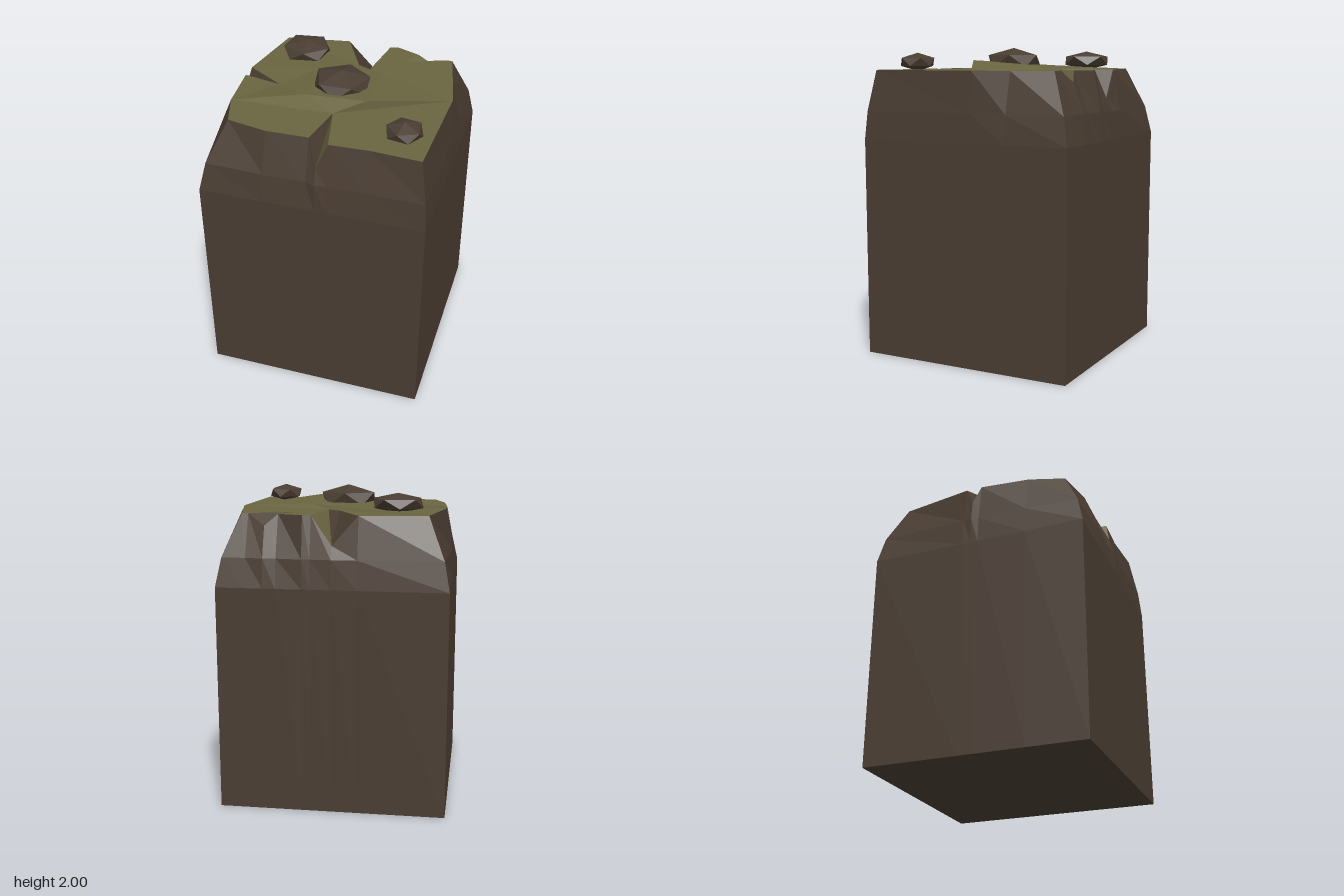
import * as THREE from 'three';

const H = 0.713, RIM_Y = 1.86;
const BROWN = 0x4a3d32, GREEN = 0x69643f;
const material = (color) => new THREE.MeshStandardMaterial({ color, flatShading: true, roughness: 1 });
const brown = material(BROWN), green = material(GREEN);

// Flat-shaded mesh from a list of corner points, three per face
function facetMesh(name, points, mat) {
  const geo = new THREE.BufferGeometry().setFromPoints(points);
  geo.computeVertexNormals();
  const mesh = new THREE.Mesh(geo, mat);
  mesh.name = name;
  return mesh;
}

// Rim of the top, clockwise from above: [x, z] points and notches
// (floor = lowest point on the side, tips = inner points on the top)
const RIM = [
  [-0.575, -0.57], [-0.16, -0.64],
  { floor: [0, 1.68, -0.66], tips: [[0, -0.33], [0.08, -0.27]], mats: [brown, brown, green] },
  [0.13, -0.635], [0.18, -0.65], [0.34, -0.585],
  { floor: [0.42, 1.79, -0.62], tips: [[0.26, -0.46]], mats: [green, brown] },
  [0.53, -0.565], [0.57, -0.565],
  [0.63, -0.3], [0.68, -0.06], [0.66, 0.65],
  [0.35, 0.63], [0.1, 0.64],
  { floor: [0.03, 1.7, 0.675], tips: [[0.02, 0.3]], mats: [green, brown] },
  [-0.03, 0.6], [-0.3, 0.605], [-0.555, 0.555],
  [-0.63, 0.33], [-0.66, 0.01],
  { floor: [-0.685, 1.74, -0.04], tips: [[-0.41, 0.06]], mats: [brown, brown] },
  [-0.66, -0.095],
];
const onRim = ([x, z]) => new THREE.Vector3(x, RIM_Y, z);

// Straight-sided outline below a rim point: pushed out to the square, corners to its corners
function outward(p, y) {
  const ax = Math.abs(p.x), az = Math.abs(p.z), corner = ax > 0.54 && az > 0.54;
  return new THREE.Vector3(
    corner || ax > az ? Math.sign(p.x) * H : p.x, y,
    corner || az >= ax ? Math.sign(p.z) * H : p.z);
}

// Earth block: stacked rings from base to notched rim
function earthBlock() {
  const rim = RIM.map((r) => (r.floor ? new THREE.Vector3(...r.floor) : onRim(r)));
  const mid = rim.map((p) => {
    const q = outward(p, 1.6);
    return q.lerp(new THREE.Vector3(p.x, 1.6, p.z), 0.25);
  });
  const rings = [rim.map((p) => outward(p, 0)), rim.map((p) => outward(p, 1.42)), mid, rim];
  const tris = [], n = rim.length;
  for (let k = 0; k < 3; k++) {
    for (let i = 0; i < n; i++) {
      const j = (i + 1) % n, low = rings[k], up = rings[k + 1];
      tris.push(up[j], low[j], low[i], up[j], low[i], up[i]);
    }
  }
  // Underside
  const centre = new THREE.Vector3();
  rings[0].forEach((p, i) => tris.push(centre, p, rings[0][(i + 1) % n]));
  return facetMesh('earthBlock', tris, brown);
}

// Grass top: rim with notches cut in, rising to a raised middle
function grassTop() {
  const rim = RIM.flatMap((r) => (r.floor ? r.tips : [r])).map(onRim);
  const middle = [[-0.2, 1.885, -0.2], [0.2, 1.89, -0.2], [0.2, 1.92, 0.2], [-0.2, 1.9, 0.2]]
    .map((p) => new THREE.Vector3(...p));
  const flat = (list) => list.map((p) => new THREE.Vector2(p.x, p.z));
  const all = [...rim, ...middle], m = rim.length;
  const faces = THREE.ShapeUtils.triangulateShape(flat(rim), [flat(middle)]);
  faces.push([m, m + 1, m + 2], [m, m + 2, m + 3]);
  const tris = [];
  for (const f of faces) {
    const [a, b, c] = f.map((i) => all[i]);
    const up = b.clone().sub(a).cross(c.clone().sub(a)).y > 0;
    tris.push(a, ...(up ? [b, c] : [c, b]));
  }
  return facetMesh('grassTop', tris, green);
}

// Walls inside each notch
function notchWalls() {
  const group = new THREE.Group();
  group.name = 'notches';
  RIM.forEach((r, i) => {
    if (!r.floor) return;
    const floor = new THREE.Vector3(...r.floor);
    const edge = [RIM[i - 1], ...r.tips, RIM[i + 1]].map(onRim);
    r.mats.forEach((mat, k) => group.add(facetMesh('notchWall', [edge[k], edge[k + 1], floor], mat)));
  });
  return group;
}

// Flattened, slightly uneven stone with a point on top
function stone(x, y, z, rx, ry, rz, turn) {
  const geo = new THREE.IcosahedronGeometry(1, 0);
  geo.rotateZ(-Math.atan(2 / (1 + Math.sqrt(5))));
  geo.rotateY(turn);
  const pos = geo.attributes.position, v = new THREE.Vector3();
  for (let i = 0; i < pos.count; i++) {
    v.fromBufferAttribute(pos, i);
    const k = 1 + 0.06 * Math.sin(5 * v.x + 3 * v.z + turn) * (1 - Math.abs(v.y));
    pos.setXYZ(i, v.x * k, v.y, v.z * k);
  }
  geo.scale(rx / 0.9, ry, rz / 0.9);
  geo.computeVertexNormals();
  const mesh = new THREE.Mesh(geo, brown);
  mesh.name = 'stone';
  mesh.position.set(x, y, z);
  return mesh;
}

export function createModel() {
  const model = new THREE.Group();
  model.name = 'grassyEarthBlock';
  model.add(earthBlock(), grassTop(), notchWalls());
  model.add(
    stone(-0.01, 1.915, 0.01, 0.18, 0.085, 0.175, 0.3),
    stone(-0.37, 1.915, -0.36, 0.16, 0.062, 0.15, 1.1),
    stone(0.5, 1.91, 0.44, 0.112, 0.058, 0.11, 2.0));
  return model;
}
